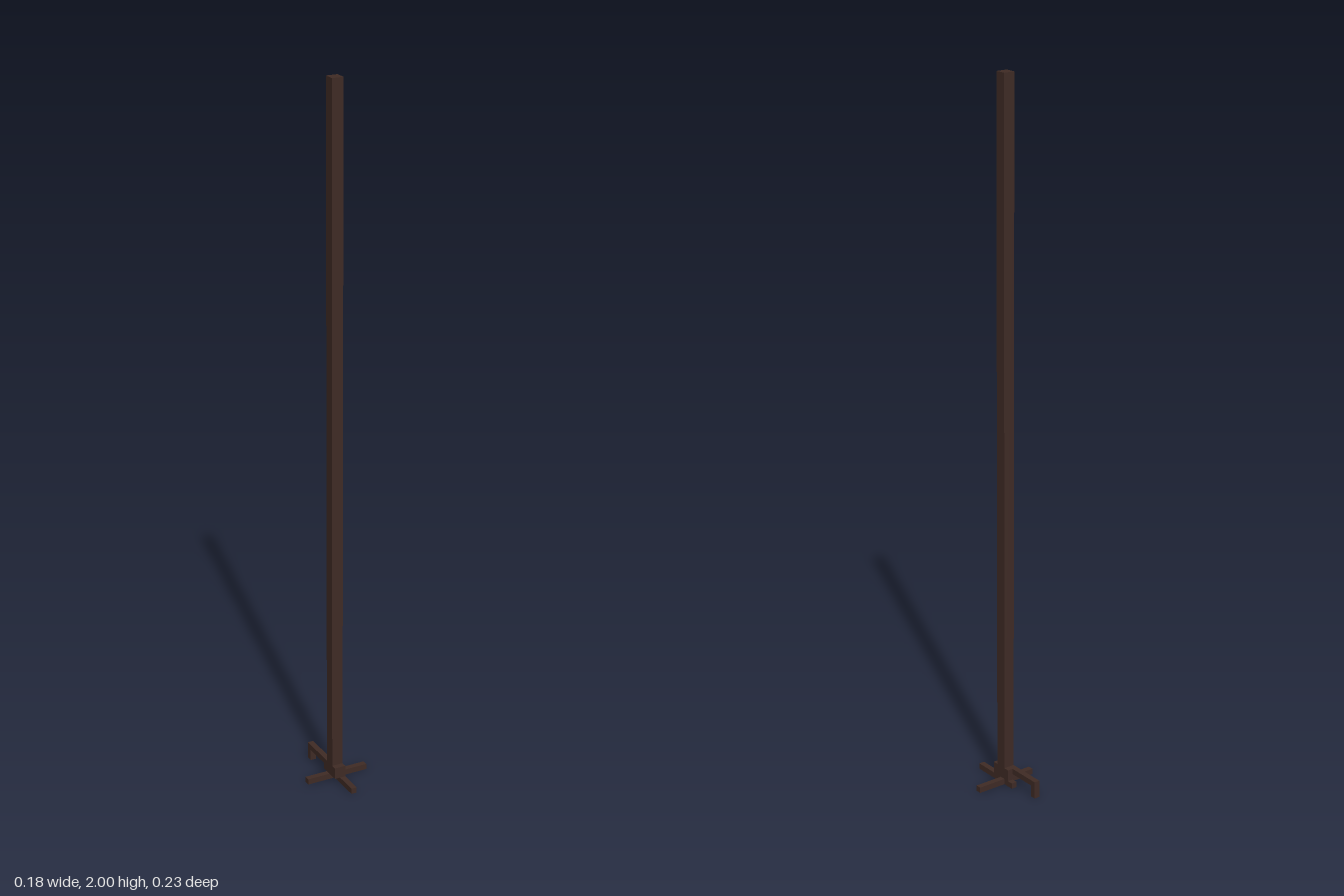
import * as THREE from 'three';

export function createModel() {
  const group = new THREE.Group();
  const darkWood = new THREE.MeshStandardMaterial({ color: 0x3f2b25 });
  darkWood.name = 'darkWood';

  // Box given by its extents along each axis
  const bar = (name, [x0, x1], [y0, y1], [z0, z1]) => {
    const mesh = new THREE.Mesh(new THREE.BoxGeometry(x1 - x0, y1 - y0, z1 - z0), darkWood);
    mesh.position.set((x0 + x1) / 2, (y0 + y1) / 2, (z0 + z1) / 2);
    mesh.name = name;
    group.add(mesh);
  };

  const thick = 0.0165; // thickness of the thin bars
  const top = 0.05; // top of the socket block
  const across = [-0.025, 0.0075]; // width of the post

  // Crossed feet
  bar('crossFoot', [-0.092, 0.092], [0, thick], [0, thick]);
  bar('longFoot', [-0.009, 0.0075], [0, thick], [-0.034, 0.117]);

  // Socket block and tall post
  bar('socketBlock', across, [thick, top], [-0.017, 0.049]);
  bar('post', across, [top, 2], [0, 0.0325]);

  // Bent arm at the back
  const armX = [-0.025, -0.0085];
  bar('rearArm', armX, [top - thick, top], [-0.117, -0.017]);
  bar('rearArmLeg', armX, [0, top - thick], [-0.117, -0.117 + thick]);

  return group;
}
